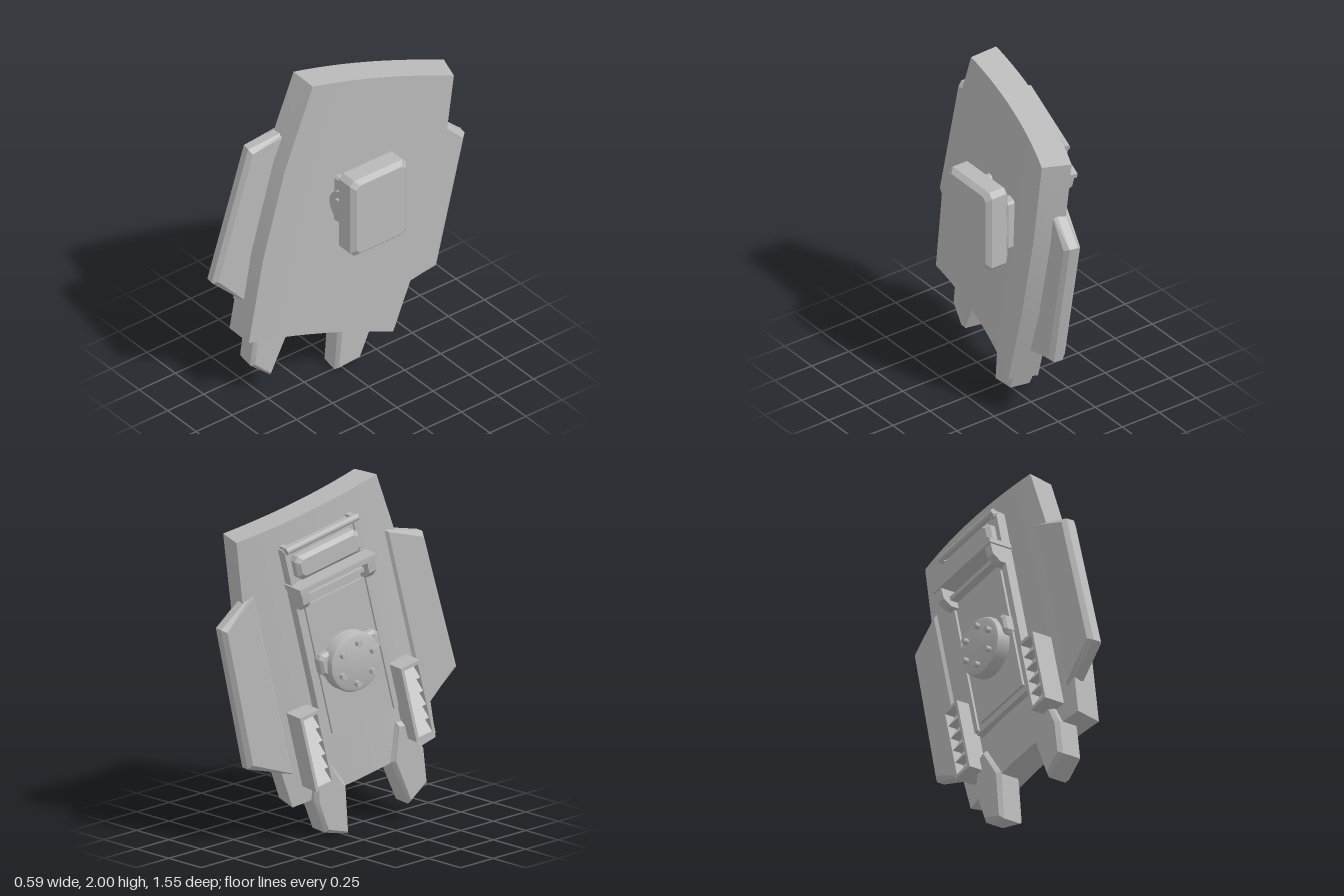
import * as THREE from 'three';
import { toCreasedNormals } from 'three/addons/utils/BufferGeometryUtils.js';

const grey = new THREE.MeshStandardMaterial({ color: 0xb8b8b8 });
grey.name = 'plain grey';

// Closed solid through a list of { pts, at } cross-sections; place(u, v, at) gives [x, y, z]
function loft(sections, place, crease = 0.3) {
  const first = sections[0].pts.map(p => new THREE.Vector2(p[0], p[1]));
  const flip = THREE.ShapeUtils.isClockWise(first);
  const rings = sections.map(s => {
    const ring = s.pts.map(p => new THREE.Vector3(...place(p[0], p[1], s.at)));
    return flip ? ring.reverse() : ring;
  });
  if (flip) first.reverse();
  const tris = [];
  const n = first.length;
  for (let k = 0; k + 1 < rings.length; k++) {
    const a = rings[k], b = rings[k + 1];
    for (let i = 0; i < n; i++) {
      const j = (i + 1) % n;
      tris.push([a[i], a[j], b[j]], [a[i], b[j], b[i]]);
    }
  }
  const end = rings[rings.length - 1];
  for (const [i, j, k] of THREE.ShapeUtils.triangulateShape(first, [])) {
    tris.push([rings[0][i], rings[0][k], rings[0][j]], [end[i], end[j], end[k]]);
  }
  // Turn the faces outward
  let volume = 0;
  const cross = new THREE.Vector3();
  for (const [a, b, c] of tris) volume += a.dot(cross.crossVectors(b, c));
  const points = tris.flatMap(([a, b, c]) => (volume < 0 ? [a, c, b] : [a, b, c]));
  const geo = new THREE.BufferGeometry().setFromPoints(points);
  geo.computeVertexNormals();
  return toCreasedNormals(geo, crease);
}

// Pull an outline in by c on every side
function shrink(pts, c) {
  const box = new THREE.Box2().setFromPoints(pts.map(p => new THREE.Vector2(p[0], p[1])));
  const m = box.getCenter(new THREE.Vector2()), s = box.getSize(new THREE.Vector2());
  return pts.map(([u, v]) => [m.x + (u - m.x) * (1 - 2 * c / s.x), m.y + (v - m.y) * (1 - 2 * c / s.y)]);
}

// Chamfered slab: outline in (y, z), thickness along x
function slab(pts, x0, x1, c) {
  const inner = shrink(pts, c);
  return loft([
    { pts: inner, at: x0 }, { pts, at: x0 + c },
    { pts, at: x1 - c }, { pts: inner, at: x1 },
  ], (u, v, x) => [x, u, v]);
}

// Rectangle in (y, z) with cut corners
function cutRect(y0, y1, z0, z1, k) {
  return [[y0 + k, z0], [y1 - k, z0], [y1, z0 + k], [y1, z1 - k],
    [y1 - k, z1], [y0 + k, z1], [y0, z1 - k], [y0, z0 + k]];
}

function add(parent, name, geo) {
  const mesh = new THREE.Mesh(geo, grey);
  mesh.name = name;
  parent.add(mesh);
  return mesh;
}

function box(parent, name, x0, x1, y0, y1, z0, z1) {
  const mesh = add(parent, name, new THREE.BoxGeometry(x1 - x0, y1 - y0, z1 - z0));
  mesh.position.set((x0 + x1) / 2, (y0 + y1) / 2, (z0 + z1) / 2);
  return mesh;
}

export function createModel() {
  const model = new THREE.Group();
  model.name = 'armourPlate';

  // Tilted frame: x out of the hollow face, y along the plate, z across it
  const shield = new THREE.Group();
  shield.name = 'shield';
  const up = new THREE.Vector3(0.034, 0.97, -0.241).normalize();
  const out = up.clone().cross(new THREE.Vector3(-0.168, 0.25, 0.955)).normalize();
  const across = out.clone().cross(up);
  shield.quaternion.setFromRotationMatrix(new THREE.Matrix4().makeBasis(out, up, across));
  shield.position.set(0, 1.1, -0.02);
  model.add(shield);

  // Curved main plate, widest around its middle
  const R = 2.59, T = 0.17, STEPS = 14;
  const arc = half => {
    const a = Math.asin(half / R), pts = [];
    const point = (r, t) => [0.063 + R - r * Math.cos(t), r * Math.sin(t)];
    for (let i = 0; i <= STEPS; i++) pts.push(point(R, -a + 2 * a * i / STEPS));
    for (let i = STEPS; i >= 0; i--) pts.push(point(R + T, -a + 2 * a * i / STEPS));
    return pts;
  };
  add(shield, 'mainPlate', loft(
    [[-0.81, 0.46], [-0.28, 0.505], [0.29, 0.505], [0.81, 0.45]].map(([at, w]) => ({ pts: arc(w), at })),
    (x, z, y) => [x, y, z], 0.2));

  for (const s of [1, -1]) {
    const side = s > 0 ? 'front' : 'back';
    const mirror = pts => pts.map(([y, z]) => [y, z * s]);

    // Side wing and lower fin
    add(shield, side + 'Wing', slab(mirror([[0.49, 0.44], [0.366, 0.69], [-0.477, 0.715], [-0.63, 0.44]]), -0.085, 0.015, 0.025));
    add(shield, side + 'Fin', slab(mirror([[-0.6, 0.24], [-0.62, 0.32], [-0.815, 0.375], [-1.015, 0.35], [-1.083, 0.205], [-0.8, 0.155]]), -0.125, 0.033, 0.022));

    // Louvred vent box
    const vent = new THREE.Group();
    vent.name = side + 'Vent';
    shield.add(vent);
    const z = 0.345 * s, w = 0.065, y0 = -0.71, y1 = -0.26;
    box(vent, 'ventBack', -0.15, -0.08, y0, y1, z - w, z + w);
    for (const e of [-1, 1]) {
      const wall = z + e * (w - 0.009);
      box(vent, 'ventWall', -0.21, -0.15, y0, y1, wall - 0.009, wall + 0.009);
    }
    box(vent, 'ventTop', -0.21, -0.15, y1 - 0.02, y1, z - w, z + w);
    box(vent, 'ventBottom', -0.21, -0.15, y0, y0 + 0.02, z - w, z + w);
    for (let i = 0; i < 5; i++) {
      const y = y0 + 0.02 + i * 0.082;
      add(vent, 'louvre', loft([z - w + 0.018, z + w - 0.018].map(at => (
        { pts: [[-0.15, y], [-0.205, y], [-0.15, y + 0.07]], at })), (u, v, l) => [u, v, l]));
    }

    // Panel rail
    box(shield, side + 'Rail', -0.155, -0.08, -0.49, 0.67, s * 0.235 - 0.015, s * 0.235 + 0.015);

    // Bracket end block, tapering downward
    add(shield, side + 'BracketBlock', loft([0.2 * s, 0.25 * s].map(at => (
      { pts: [[-0.1, 0.44], [-0.24, 0.44], [-0.235, 0.37], [-0.19, 0.33], [-0.1, 0.33]], at })),
    (u, v, l) => [u, v, l]));
    box(shield, 'handleEnd', -0.17, -0.1, 0.655, 0.695, s * 0.225 - 0.015, s * 0.225 + 0.015);
  }

  // Equipment panel on the bulging face
  box(shield, 'panel', -0.14, -0.08, -0.5, 0.68, -0.25, 0.25);
  box(shield, 'innerPanel', -0.155, -0.1, -0.46, 0.32, -0.195, 0.195);
  box(shield, 'bracketShelf', -0.25, -0.1, 0.44, 0.47, -0.26, 0.26);
  box(shield, 'bracketBar', -0.19, -0.1, 0.37, 0.395, -0.22, 0.22);
  add(shield, 'upperBox', slab(cutRect(0.49, 0.63, -0.215, 0.215, 0.025), -0.205, -0.1, 0.022));
  const handle = add(shield, 'handle', new THREE.CylinderGeometry(0.02, 0.02, 0.49, 16));
  handle.rotation.x = Math.PI / 2;
  handle.position.set(-0.165, 0.68, 0);

  // Round hub with six bolts on a saddle
  const hub = new THREE.Group();
  hub.name = 'hub';
  hub.position.set(0, -0.09, 0);
  shield.add(hub);
  add(hub, 'saddle', slab(cutRect(-0.02, 0.11, -0.2, 0.2, 0.02), -0.2, -0.12, 0.015));
  const profile = [[0, 0.1], [0.17, 0.1], [0.17, 0.215], [0.163, 0.232], [0.145, 0.24], [0, 0.24]];
  const disc = add(hub, 'hubDisc', toCreasedNormals(
    new THREE.LatheGeometry(profile.map(p => new THREE.Vector2(...p)), 40), 0.6));
  disc.rotation.z = Math.PI / 2;
  for (let i = 0; i < 6; i++) {
    const a = i * Math.PI / 3 + 0.26;
    const bolt = add(hub, 'bolt', new THREE.CylinderGeometry(0.017, 0.017, 0.035, 14));
    bolt.rotation.z = Math.PI / 2;
    bolt.position.set(-0.252, 0.115 * Math.cos(a), 0.115 * Math.sin(a));
  }

  // Upright pad with its pivot on the hollow face
  add(model, 'pad', slab(cutRect(0.93, 1.43, -0.25, 0.14, 0.028), 0.142, 0.29, 0.026));
  for (const [z0, z1] of [[-0.245, -0.165], [0.03, 0.08]]) {
    add(model, 'padBracket', slab(cutRect(1.03, 1.33, z0, z1, 0.012), 0.03, 0.16, 0.012));
  }
  for (const [r, z0, z1] of [[0.1, -0.22, 0.11], [0.06, -0.24, 0.13]]) {
    const pivot = add(model, 'padPivot', new THREE.CylinderGeometry(r, r, z1 - z0, 32));
    pivot.rotation.x = Math.PI / 2;
    pivot.position.set(0.145, 1.18, (z0 + z1) / 2);
  }

  return model;
}
